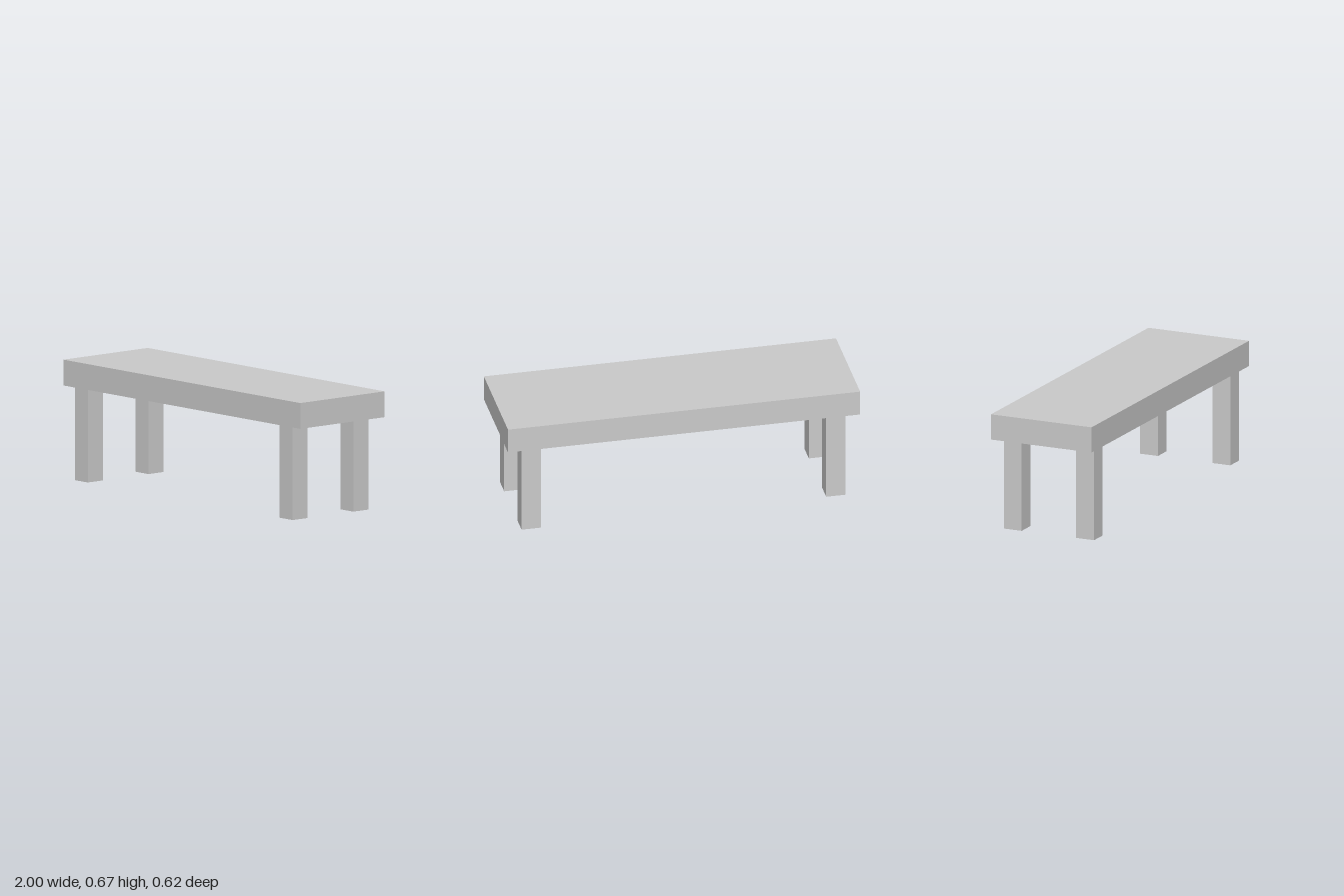
import * as THREE from 'three';

const SEAT_BOTTOM = 0.525;
const SEAT_TOP = 0.67;

export function createModel() {
  const model = new THREE.Group();
  model.name = 'bench';
  const material = new THREE.MeshStandardMaterial({ color: 0xcccccc, flatShading: true });

  const addBox = (name, [w, h, d], [x, y, z]) => {
    const mesh = new THREE.Mesh(new THREE.BoxGeometry(w, h, d), material);
    mesh.name = name;
    mesh.position.set(x, y, z);
    model.add(mesh);
  };

  // Thick seat slab
  addBox('seat', [2, SEAT_TOP - SEAT_BOTTOM, 0.62], [0, (SEAT_TOP + SEAT_BOTTOM) / 2, 0]);

  // Four square legs, set slightly off centre under the seat
  for (const [side, x] of [['Right', -0.872], ['Left', 0.858]]) {
    for (const [end, z] of [['front', 0.235], ['back', -0.211]]) {
      addBox(`${end}${side}Leg`, [0.11, SEAT_BOTTOM, 0.11], [x, SEAT_BOTTOM / 2, z]);
    }
  }

  return model;
}
